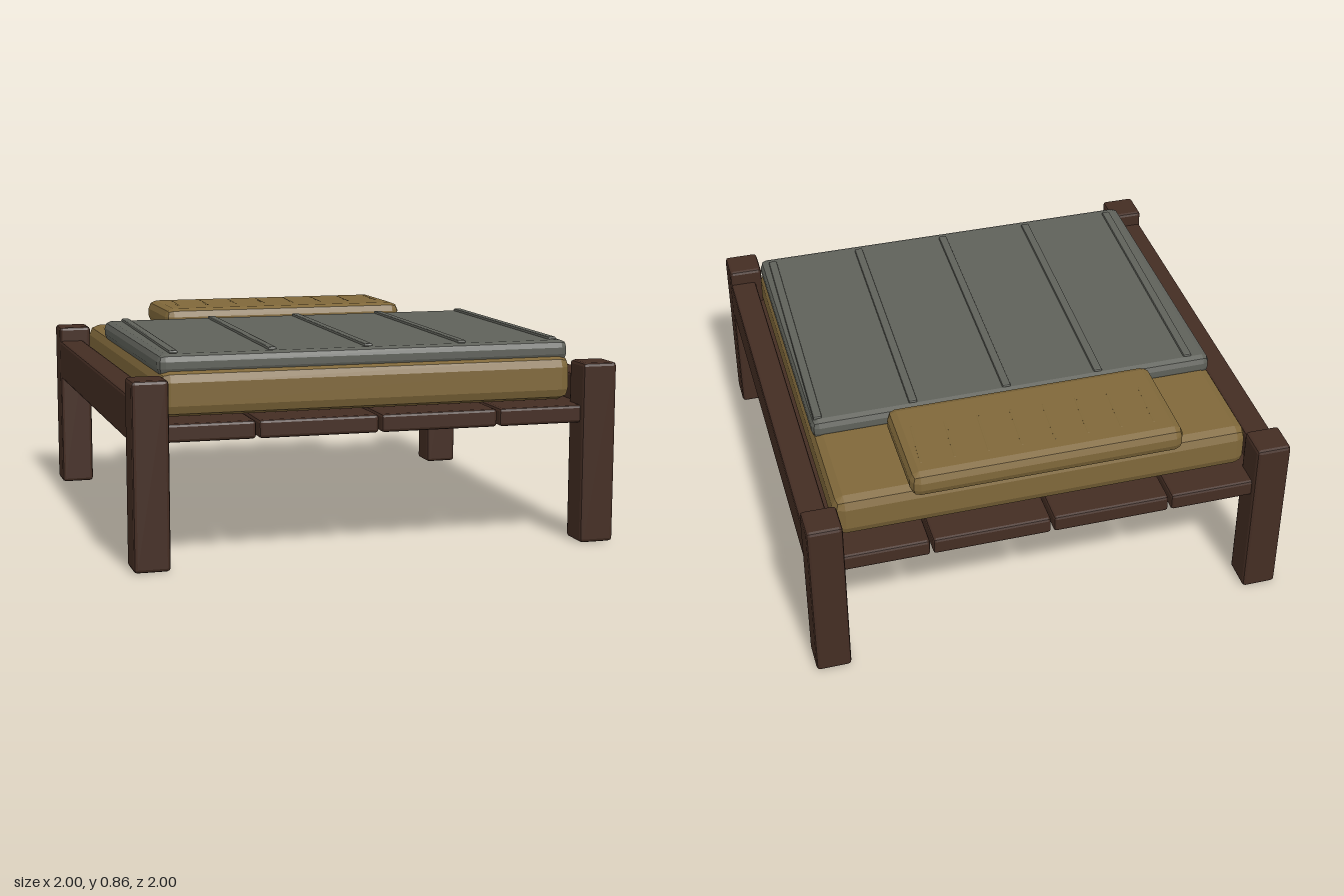
import * as THREE from 'three';
import { RoundedBoxGeometry } from 'three/addons/geometries/RoundedBoxGeometry.js';

function material(name, color) {
  const m = new THREE.MeshStandardMaterial({ color });
  m.name = name;
  return m;
}

// Box with faceted, softened edges, given by its limits on each axis
function block(name, mat, [x0, x1], [y0, y1], [z0, z1], bevel) {
  const geo = new RoundedBoxGeometry(x1 - x0, y1 - y0, z1 - z0, 1, bevel);
  geo.computeVertexNormals(); // unshared corners give flat facets
  const mesh = new THREE.Mesh(geo, mat);
  mesh.name = name;
  mesh.position.set((x0 + x1) / 2, (y0 + y1) / 2, (z0 + z1) / 2);
  return mesh;
}

export function createModel() {
  const wood = material('dark wood', 0x442d23);
  const cloth = material('straw cloth', 0x80683a);
  const wool = material('grey wool', 0x5f615a);
  const bed = new THREE.Group();
  bed.name = 'bed';

  // Corner posts and side rails
  for (const sx of [-1, 1]) {
    for (const sz of [-1, 1]) {
      const leg = block('leg', wood, [-0.0725, 0.0725], [0, 0.745], [-0.0725, 0.0725], 0.014);
      leg.position.x = sx * 0.9275;
      leg.position.z = sz * 0.9275;
      bed.add(leg);
    }
    const rail = block('sideRail', wood, [-0.056, 0.056], [0.5, 0.68], [-0.93, 0.93], 0.012);
    rail.position.x = sx * 0.942;
    bed.add(rail);
  }

  // Planks running lengthwise under the mattress
  for (let i = 0; i < 4; i++) {
    const x = -0.75 + i * 0.5;
    bed.add(block('plank', wood, [x - 0.244, x + 0.244], [0.497, 0.57], [-0.972, 0.967], 0.012));
  }

  // Bedding
  bed.add(block('mattress', cloth, [-0.865, 0.865], [0.575, 0.757], [-0.868, 0.862], 0.045));
  bed.add(block('pillow', cloth, [-0.568, 0.562], [0.75, 0.86], [-0.917, -0.45], 0.038));
  bed.add(block('blanket', wool, [-0.862, 0.862], [0.733, 0.82], [-0.432, 0.83], 0.03));

  // Slanted folds raised along the blanket
  for (let i = 0; i < 5; i++) {
    const x = -0.78 + i * 0.4;
    const fold = block('blanketFold', wool, [x - 0.018, x + 0.018], [0.802, 0.83], [-0.4, 0.78], 0.006);
    fold.rotation.y = -0.02;
    bed.add(fold);
  }

  // Faint creases on the pillow
  for (let i = 0; i < 8; i++) {
    const x = -0.47 + i * 0.138;
    const crease = block('pillowCrease', cloth, [x - 0.006, x + 0.006], [0.852, 0.861], [-0.83, -0.6], 0.003);
    crease.rotation.y = -0.06;
    bed.add(crease);
  }
  return bed;
}
